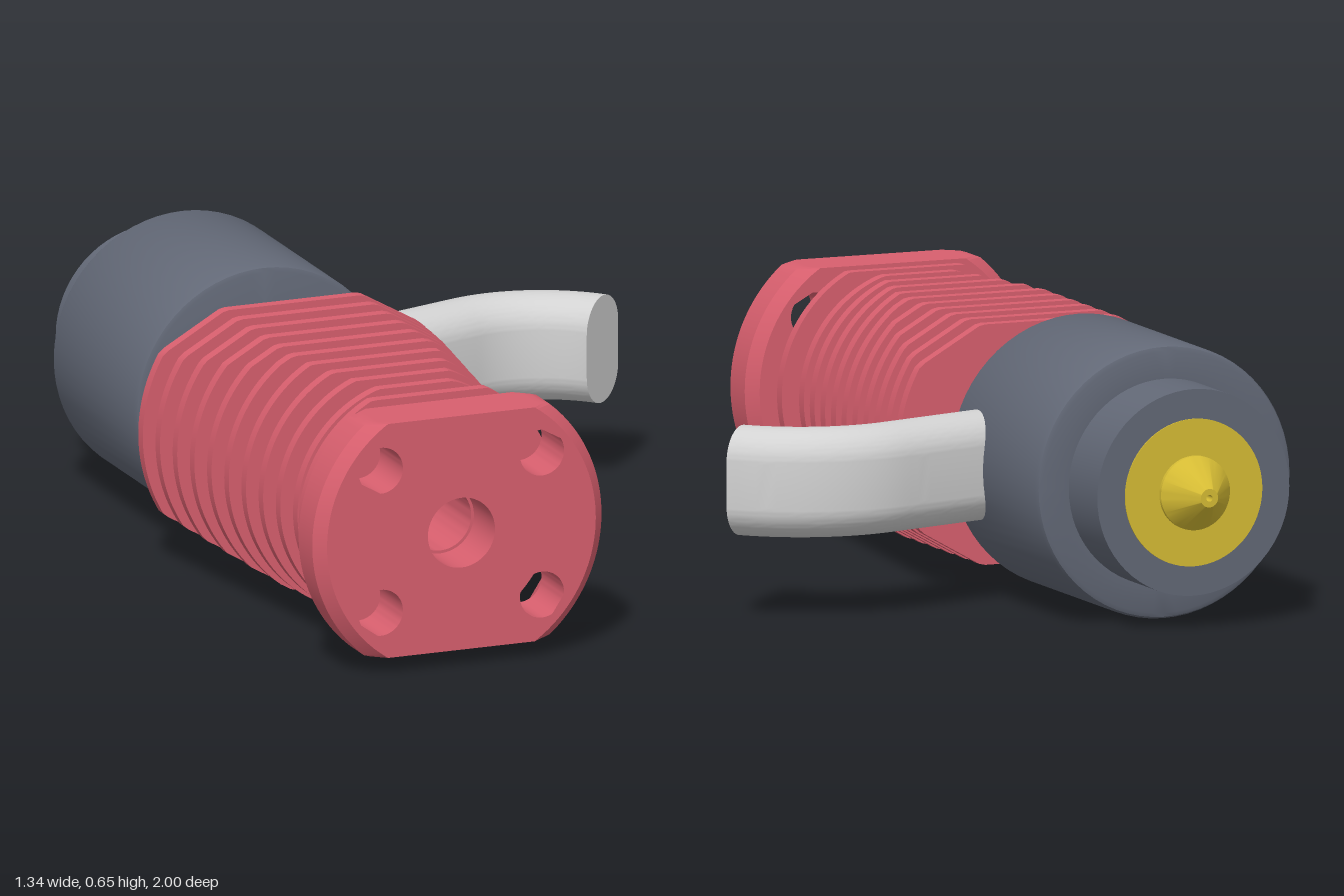
import * as THREE from 'three';
import { toCreasedNormals } from 'three/addons/utils/BufferGeometryUtils.js';

const material = (name, color) => {
  const m = new THREE.MeshStandardMaterial({ color });
  m.name = name;
  return m;
};
const AXIS_X = -0.29, AXIS_Y = 0.326;

export function createModel() {
  const red = material('anodised red', 0xd85f6e);
  const slate = material('slate silicone', 0x626876);
  const brass = material('brass', 0xd6bc34);
  const silver = material('silver', 0xd2d2d2);

  const model = new THREE.Group();
  model.name = 'hotEnd';
  const body = new THREE.Group();
  body.name = 'body';
  body.position.set(AXIS_X, AXIS_Y, 0);
  model.add(body);

  const add = (name, geometry, mat) => {
    const mesh = new THREE.Mesh(toCreasedNormals(geometry, 0.45), mat);
    mesh.name = name;
    body.add(mesh);
    return mesh;
  };

  // Closed [radius, z] profile turned about the z axis: outside towards +z, inside back
  const turn = (name, profile, mat) => {
    const pts = [...profile, profile[0]].map(([r, z]) => new THREE.Vector2(r, z));
    return add(name, new THREE.LatheGeometry(pts, 64).rotateX(Math.PI / 2), mat);
  };

  // Outline given by radius as a function of angle, with round holes [x, y, r]
  const plate = (radiusAt, holes) => {
    const pts = [];
    for (let i = 0; i < 144; i++) {
      const a = (i / 144) * Math.PI * 2, r = radiusAt(Math.abs(Math.cos(a)), Math.abs(Math.sin(a)));
      pts.push(new THREE.Vector2(r * Math.cos(a), r * Math.sin(a)));
    }
    const shape = new THREE.Shape(pts);
    for (const [x, y, r] of holes) shape.holes.push(new THREE.Path().absarc(x, y, r, 0, Math.PI * 2, true));
    return shape;
  };

  // Mounting flange: flat top and bottom, chamfered round sides, four screw holes
  const FLAT = 0.285, FLANGE_R = 0.366, FLANGE_D = 0.14;
  const holes = [[0, 0, 0.085]];
  for (const sx of [-1, 1]) for (const sy of [-1, 1]) holes.push([sx * 0.204, sy * 0.173, 0.056]);
  const flange = new THREE.ExtrudeGeometry(
    plate((c, s) => Math.min(FLANGE_R, FLAT / Math.max(s, 1e-6)), holes),
    { depth: FLANGE_D, steps: 5, bevelEnabled: false, curveSegments: 24 });
  const fp = flange.attributes.position;
  for (let i = 0; i < fp.count; i++) {
    const x = fp.getX(i), y = fp.getY(i), z = fp.getZ(i);
    if (z < 0.001 || z > FLANGE_D - 0.001) {
      const limit = Math.sqrt(0.34 ** 2 - y * y);
      fp.setX(i, Math.sign(x) * Math.min(Math.abs(x), limit));
    }
  }
  flange.computeVertexNormals();
  flange.translate(0, 0, 0.86);
  add('mountingFlange', flange, red);

  // Cooling fins widening towards the heater
  for (let i = 0; i < 11; i++) {
    const r = i === 0 ? 0.32 : 0.3 + (i - 1) * 0.0092;
    const shape = plate((c, s) => Math.min(r, FLAT / Math.max(s, 1e-6), 0.384 / (0.57 * c + s)), [[0, 0, 0.1]]);
    const fin = new THREE.ExtrudeGeometry(shape, { depth: 0.028, bevelEnabled: false, curveSegments: 16 });
    fin.translate(0, 0, 0.776 - i * 0.0836);
    add('coolingFin' + (i + 1), fin, red);
  }

  // Tapered core with a stepped bore
  turn('heatSinkCore', [
    [0.06, -0.1], [0.14, -0.1], [0.15, -0.085], [0.15, -0.04], [0.13, 0.87],
    [0.078, 0.87], [0.078, 0.1], [0.06, 0.1],
  ], red);

  // Heat break tube
  turn('heatBreak', [[0.046, -0.22], [0.06, -0.22], [0.06, 0.1], [0.046, 0.1]], silver);

  // Wire spring in the gap
  const coil = [];
  for (let i = 0; i <= 56; i++) {
    const t = i / 56, a = Math.PI * (1 - 3.6 * t), r = 0.187 - 0.015 * t;
    coil.push(new THREE.Vector3(r * Math.cos(a), r * Math.sin(a), -0.205 + 0.14 * t));
  }
  add('spring', new THREE.TubeGeometry(new THREE.CatmullRomCurve3(coil), 140, 0.014, 10), silver);

  // Silicone sock: wide rounded drum with a narrower end
  turn('heaterSock', [
    [0.1, -0.905], [0.245, -0.905], [0.245, -0.737], [0.31, -0.737], [0.32, -0.733], [0.325, -0.722],
    [0.325, -0.23], [0.32, -0.219], [0.31, -0.215], [0.1, -0.215],
  ], slate);

  // Brass collar, end face and nozzle
  turn('collar', [[0.058, -0.225], [0.12, -0.225], [0.12, -0.18], [0.058, -0.18]], brass);
  turn('blockFace', [[0.05, -0.908], [0.175, -0.908], [0.175, -0.9], [0.05, -0.9]], brass);
  turn('nozzle', [
    [0.008, -1], [0.022, -1], [0.088, -0.918], [0.088, -0.9], [0.1, -0.9], [0.1, -0.22],
    [0.046, -0.22], [0.046, -0.9], [0.008, -0.96],
  ], brass);

  // Cable sleeve: a stadium section carried along a straight and then an arc
  const HALF_W = 0.079, HALF_H = 0.051, START = -0.297, END = 0.875, BEND_R = 0.307;
  const straight = 0.345, sweep = END - START, length = straight + BEND_R * sweep;
  const stadium = new THREE.Shape();
  stadium.absarc(0, HALF_H, HALF_W, 0, Math.PI, false);
  stadium.absarc(0, -HALF_H, HALF_W, Math.PI, Math.PI * 2, false);
  stadium.closePath();
  const sleeve = new THREE.ExtrudeGeometry(stadium, { depth: length, steps: 36, bevelEnabled: false, curveSegments: 20 });
  const sp = sleeve.attributes.position;
  for (let i = 0; i < sp.count; i++) {
    const side = sp.getX(i), s = sp.getZ(i);
    const a = START + Math.max(0, s - straight) / BEND_R;
    const back = Math.min(0, s - straight);
    const x = 0.37 + BEND_R * Math.sin(a) + back * Math.cos(a) + side * Math.sin(a);
    const z = -0.116 - BEND_R * Math.cos(a) + back * Math.sin(a) - side * Math.cos(a);
    sp.setX(i, x - AXIS_X);
    sp.setZ(i, z);
  }
  sleeve.computeVertexNormals();
  add('cableSleeve', sleeve, silver);

  return model;
}
